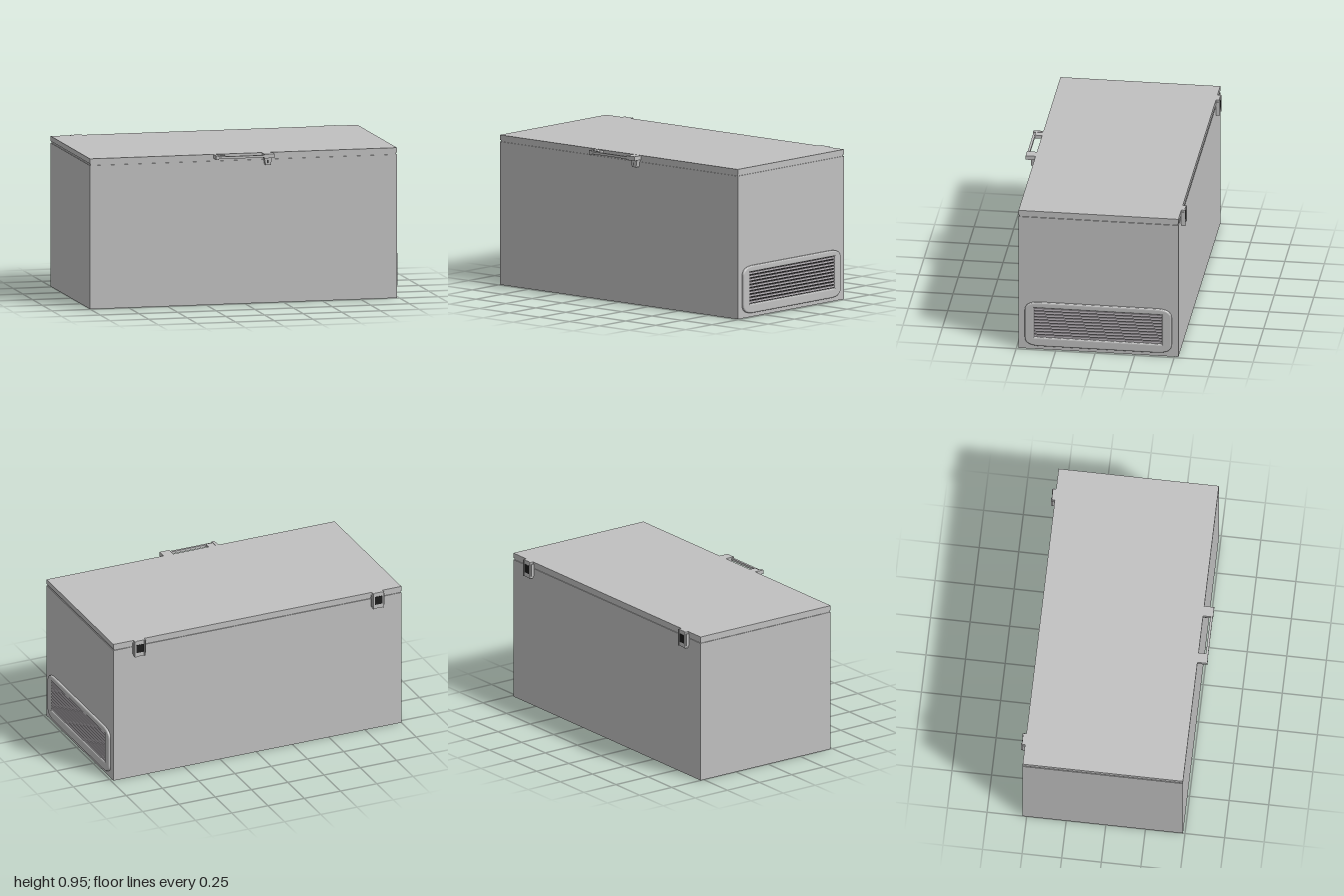
import * as THREE from 'three';

const paint = (name, color) => {
  const m = new THREE.MeshStandardMaterial({ color });
  m.name = name;
  return m;
};

export function createModel() {
  const grey = paint('cabinetGrey', 0xc0c0c0);
  const slatGrey = paint('slatGrey', 0xbdb8bd);
  const dark = paint('darkGap', 0x1c1c1c);
  const model = new THREE.Group();
  model.name = 'chestFreezer';

  const add = (parent, name, geometry, material) => {
    const mesh = new THREE.Mesh(geometry, material);
    mesh.name = name;
    parent.add(mesh);
    return mesh;
  };
  // Box given by its limits on each axis
  const box = (parent, name, [x0, x1], [y0, y1], [z0, z1], material = grey) => {
    const mesh = add(parent, name, new THREE.BoxGeometry(x1 - x0, y1 - y0, z1 - z0), material);
    mesh.position.set((x0 + x1) / 2, (y0 + y1) / 2, (z0 + z1) / 2);
    return mesh;
  };
  const group = (name) => {
    const g = new THREE.Group();
    g.name = name;
    model.add(g);
    return g;
  };

  // Cabinet, inset seal and lid
  box(model, 'cabinet', [-1, 0.985], [0, 0.91], [-0.525, 0.487]);
  box(model, 'lidSeal', [-0.995, 0.98], [0.91, 0.921], [-0.52, 0.482]);
  box(model, 'lid', [-1, 0.985], [0.921, 0.953], [-0.525, 0.487]);

  // Vent frame with soft oblong corners, on the model's left side
  const vent = group('vent');
  const [u0, u1, y0, y1] = [-0.447, 0.483, 0.025, 0.327];
  const ru = 0.1, ry = 0.06;
  const outline = new THREE.Shape();
  outline.moveTo(u0 + ru, y0);
  outline.lineTo(u1 - ru, y0);
  outline.bezierCurveTo(u1 - 0.03, y0, u1, y0 + 0.02, u1, y0 + ry);
  outline.lineTo(u1, y1 - ry);
  outline.bezierCurveTo(u1, y1 - 0.02, u1 - 0.03, y1, u1 - ru, y1);
  outline.lineTo(u0 + ru, y1);
  outline.bezierCurveTo(u0 + 0.03, y1, u0, y1 - 0.02, u0, y1 - ry);
  outline.lineTo(u0, y0 + ry);
  outline.bezierCurveTo(u0, y0 + 0.02, u0 + 0.03, y0, u0 + ru, y0);
  const opening = new THREE.Path();
  opening.moveTo(-0.388, 0.085);
  opening.lineTo(-0.388, 0.288);
  opening.lineTo(0.422, 0.288);
  opening.lineTo(0.422, 0.085);
  opening.closePath();
  outline.holes.push(opening);
  const frame = add(vent, 'ventFrame', new THREE.ExtrudeGeometry(outline, {
    depth: 0.012, bevelThickness: 0.008, bevelSize: 0.01, bevelOffset: -0.01,
    bevelSegments: 4, curveSegments: 12,
  }), grey);
  frame.rotation.y = Math.PI / 2;
  frame.position.x = 0.98;

  // Louvres over a dark backing
  box(vent, 'ventBacking', [0.983, 0.987], [0.08, 0.293], [-0.427, 0.393], dark);
  const pitch = 0.0203;
  for (let i = 0; i < 10; i++) {
    const y = 0.085 + i * pitch;
    box(vent, 'ventSlat', [0.986, 0.995], [y + 0.004, y + pitch - 0.003], [-0.425, 0.391], slatGrey);
  }

  // Pull handle on the front of the lid
  const handle = group('handle');
  box(handle, 'handleMountRight', [-0.2, -0.135], [0.928, 0.95], [0.485, 0.535]);
  box(handle, 'handleMountLeft', [0.112, 0.178], [0.925, 0.952], [0.485, 0.55]);
  box(handle, 'handleBar', [-0.2, 0.112], [0.93, 0.945], [0.533, 0.548]);
  box(handle, 'handleEnd', [-0.2, -0.18], [0.926, 0.952], [0.485, 0.55]);

  // Tapered lock catch with a keyhole
  const catchShape = new THREE.Shape();
  catchShape.moveTo(0.128, 0.878);
  catchShape.lineTo(0.162, 0.878);
  catchShape.lineTo(0.17, 0.926);
  catchShape.lineTo(0.12, 0.926);
  catchShape.closePath();
  const lock = add(handle, 'lockCatch',
    new THREE.ExtrudeGeometry(catchShape, { depth: 0.032, bevelEnabled: false }), grey);
  lock.position.z = 0.485;
  box(handle, 'keyhole', [0.142, 0.147], [0.89, 0.908], [0.515, 0.519], dark);

  // Two hinges on the back, each a flanged plate with a dark centre
  for (const x of [-0.832, 0.811]) {
    const hinge = group('hinge');
    hinge.position.x = x;
    box(hinge, 'hingePlate', [-0.034, 0.034], [0.845, 0.953], [-0.545, -0.524]);
    for (const s of [-1, 1]) {
      const a = s * 0.027, b = s * 0.036;
      box(hinge, 'hingeRail', [Math.min(a, b), Math.max(a, b)], [0.845, 0.953], [-0.55, -0.524]);
      const c = s * 0.036, d = s * 0.043;
      box(hinge, 'hingeFlange', [Math.min(c, d), Math.max(c, d)], [0.86, 0.94], [-0.542, -0.524]);
    }
    box(hinge, 'hingeRecess', [-0.026, 0.026], [0.872, 0.926], [-0.547, -0.544], dark);
  }

  return model;
}
